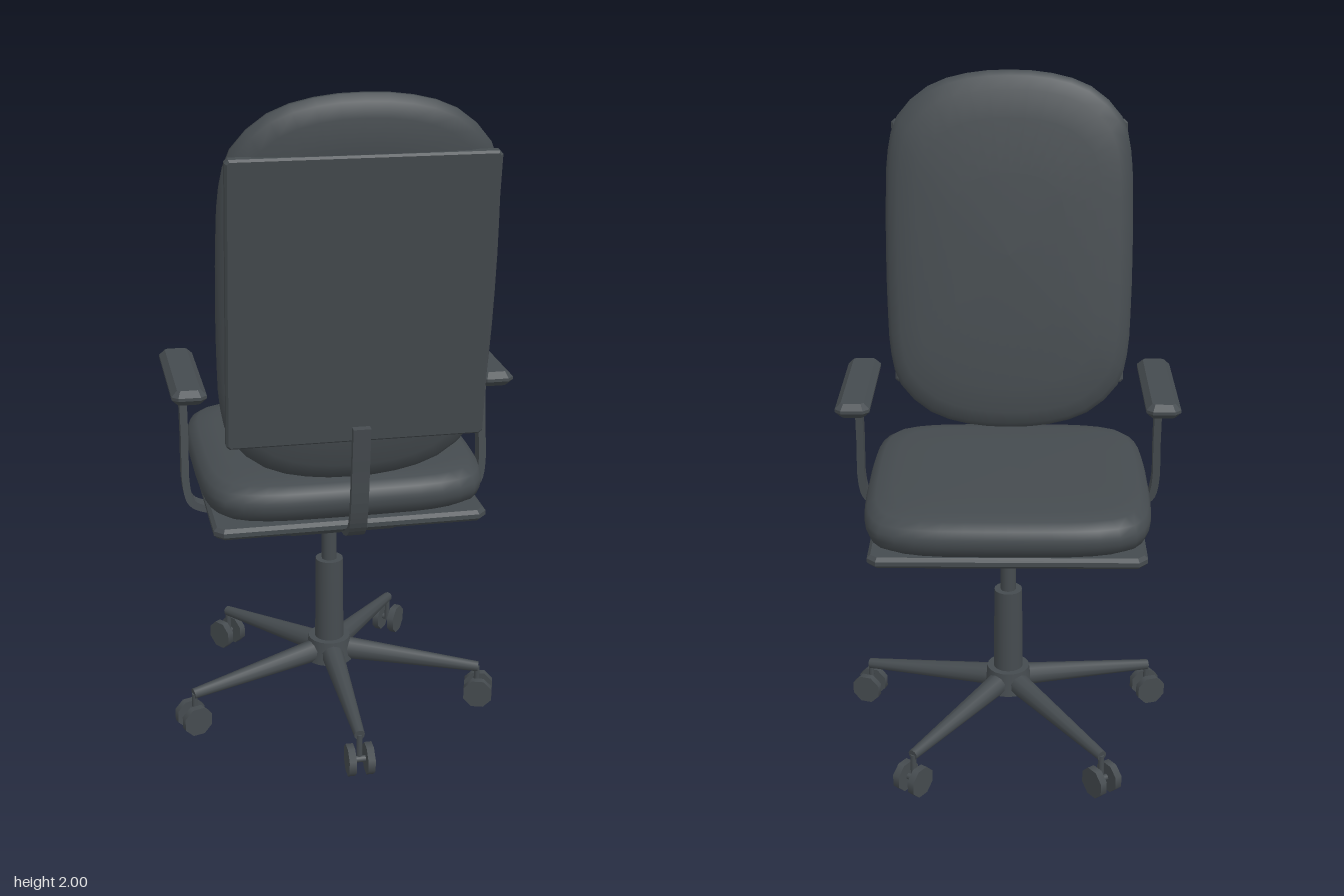
import * as THREE from 'three';

const charcoal = new THREE.MeshStandardMaterial({ color: 0x454b4f });
charcoal.name = 'charcoal';

function add(parent, name, geometry, x = 0, y = 0, z = 0) {
  const mesh = new THREE.Mesh(geometry, charcoal);
  mesh.name = name;
  mesh.position.set(x, y, z);
  parent.add(mesh);
  return mesh;
}

// Tapered rod between two points
function rod(parent, name, a, b, ra, rb, sides = 12) {
  const from = new THREE.Vector3(...a), to = new THREE.Vector3(...b);
  const dir = to.clone().sub(from);
  const mesh = add(parent, name, new THREE.CylinderGeometry(rb, ra, dir.length(), sides));
  mesh.position.copy(from).add(to).multiplyScalar(0.5);
  mesh.quaternion.setFromUnitVectors(new THREE.Vector3(0, 1, 0), dir.normalize());
  return mesh;
}

// Plate in XY with cut corners and bevelled edges, thickness along z
function slab(w, h, d, cut, bevel) {
  const x = w / 2 - bevel, y = h / 2 - bevel;
  const shape = new THREE.Shape([
    [x - cut, -y], [x, -y + cut], [x, y - cut], [x - cut, y],
    [-x + cut, y], [-x, y - cut], [-x, -y + cut], [-x + cut, -y],
  ].map(p => new THREE.Vector2(...p)));
  return new THREE.ExtrudeGeometry(shape, {
    depth: d - 2 * bevel, bevelThickness: bevel, bevelSize: bevel, bevelSegments: 1,
  }).translate(0, 0, -d / 2 + bevel);
}

// Soft pad: a quarter outline mirrored four ways, lofted through scaled rings
function cushion(quarter, profile) {
  const half = [...quarter, ...quarter.slice(0, -1).reverse().map(([x, y]) => [-x, y])];
  const loop = [...half, ...half.slice(1, -1).reverse().map(([x, y]) => [x, -y])];
  const curve = new THREE.CatmullRomCurve3(loop.map(([x, y]) => new THREE.Vector3(x, y, 0)), true);
  const outline = curve.getPoints(48).slice(0, -1);
  const n = outline.length;
  const rings = [...profile, ...profile.slice(0, -1).reverse().map(([s, h]) => [s, -h])];
  const pos = [], index = [];
  rings.forEach(([s, h], i) => outline.forEach((p, j) => {
    pos.push(p.x * s, p.y * s, h);
    if (i === rings.length - 1) return;
    const a = i * n + j, b = i * n + (j + 1) % n;
    index.push(a, a + n, b, b, a + n, b + n);
  }));
  const g = new THREE.BufferGeometry();
  g.setAttribute('position', new THREE.Float32BufferAttribute(pos, 3));
  g.setIndex(index);
  g.computeVertexNormals();
  return g;
}

// Flat bent bar: a path in XY given thickness, with its width along z
function bentBar(points, thick, width) {
  const curve = new THREE.CatmullRomCurve3(points.map(([x, y]) => new THREE.Vector3(x, y, 0)), false, 'centripetal');
  const left = [], right = [];
  for (let i = 0; i <= 24; i++) {
    const p = curve.getPoint(i / 24), t = curve.getTangent(i / 24);
    const nx = -t.y * thick / 2, ny = t.x * thick / 2;
    left.push(new THREE.Vector2(p.x + nx, p.y + ny));
    right.unshift(new THREE.Vector2(p.x - nx, p.y - ny));
  }
  return new THREE.ExtrudeGeometry(new THREE.Shape([...left, ...right]), { depth: width, bevelEnabled: false })
    .translate(0, 0, -width / 2);
}

export function createModel() {
  const chair = new THREE.Group();
  chair.name = 'officeChair';
  const axisZ = -0.035;

  // Five-legged base with twin-wheel casters
  for (let i = 0; i < 5; i++) {
    const leg = new THREE.Group();
    leg.name = 'baseLeg';
    leg.position.z = axisZ;
    leg.rotation.y = i * Math.PI * 2 / 5;
    chair.add(leg);
    rod(leg, 'legSpoke', [0, 0.168, 0.03], [0, 0.125, 0.478], 0.036, 0.016, 10);
    rod(leg, 'casterStem', [0, 0.04, 0.475], [0, 0.125, 0.475], 0.009, 0.009, 8);
    for (const side of [-1, 1]) {
      add(leg, 'casterWheel', new THREE.CylinderGeometry(0.048, 0.048, 0.022, 8)
        .rotateY(Math.PI / 8).rotateZ(Math.PI / 2), side * 0.028, 0.046, 0.48);
    }
    rod(leg, 'casterAxle', [-0.03, 0.046, 0.48], [0.03, 0.046, 0.48], 0.01, 0.01, 8);
  }
  add(chair, 'baseHub', new THREE.CylinderGeometry(0.066, 0.076, 0.075, 20), 0, 0.172, axisZ);
  add(chair, 'columnSleeve', new THREE.CylinderGeometry(0.043, 0.046, 0.29, 20), 0, 0.335, axisZ);
  add(chair, 'columnPiston', new THREE.CylinderGeometry(0.024, 0.024, 0.22, 16), 0, 0.57, axisZ);

  // Tilt mechanism and its lever
  add(chair, 'mechanism', slab(0.35, 0.42, 0.073, 0.01, 0.012).rotateX(-Math.PI / 2), 0, 0.698, -0.02);
  rod(chair, 'lever', [0.15, 0.695, -0.1], [0.35, 0.683, -0.15], 0.008, 0.008, 8);
  const knob = add(chair, 'leverKnob', new THREE.SphereGeometry(0.018, 12, 8), 0.358, 0.683, -0.155);
  knob.scale.z = 1.3;

  // Seat
  add(chair, 'seatPlate', slab(0.8, 0.75, 0.033, 0.02, 0.01).rotateX(-Math.PI / 2), 0, 0.751, -0.036);
  const seatOutline = [[0.42, 0], [0.418, 0.16], [0.405, 0.28], [0.365, 0.358], [0.26, 0.396], [0.13, 0.404], [0, 0.405]];
  const seatProfile = [[0.001, 0.069], [0.5, 0.068], [0.8, 0.064], [0.92, 0.054], [0.98, 0.036], [1, 0.012], [1, 0]];
  add(chair, 'seatCushion', cushion(seatOutline, seatProfile).rotateX(-Math.PI / 2), 0, 0.832, -0.045);

  // Leaning backrest: cushion and rear panel
  const back = new THREE.Group();
  back.name = 'backrest';
  back.position.set(0, 1.446, 0.368);
  back.rotation.x = 0.13;
  chair.add(back);
  const backOutline = [[0.385, 0], [0.382, 0.2], [0.374, 0.32], [0.345, 0.42], [0.25, 0.51], [0.13, 0.549], [0, 0.559]];
  const backProfile = [[0.001, 0.057], [0.45, 0.056], [0.75, 0.05], [0.9, 0.04], [0.97, 0.025], [1, 0.006], [1, 0]];
  add(back, 'backCushion', cushion(backOutline, backProfile));
  add(back, 'backPanel', slab(0.73, 0.83, 0.032, 0.006, 0.006), 0, -0.005, 0.042);

  // Curved upright carrying the backrest
  add(chair, 'backSupport', bentBar(
    [[0.443, 1.09], [0.428, 0.96], [0.41, 0.83], [0.385, 0.765], [0.33, 0.731], [0.25, 0.721], [0.15, 0.712]],
    0.02, 0.05).rotateY(-Math.PI / 2));

  // Armrests
  for (const side of [1, -1]) {
    const arm = new THREE.Group();
    arm.name = side > 0 ? 'leftArmrest' : 'rightArmrest';
    chair.add(arm);
    add(arm, 'armPad', slab(0.1, 0.435, 0.043, 0.008, 0.017).rotateX(-Math.PI / 2), side * 0.448, 1.129, 0.016);
    const bar = bentBar(
      [[0.452, 1.093], [0.452, 0.95], [0.452, 0.8], [0.437, 0.752], [0.39, 0.73], [0.28, 0.715], [0.14, 0.7]],
      0.022, 0.045);
    if (side < 0) bar.rotateY(Math.PI);
    // Lean the bar forward towards the top
    const p = bar.attributes.position;
    for (let i = 0; i < p.count; i++) p.setZ(i, p.getZ(i) + 0.07 - (p.getY(i) - 0.72) * 0.088);
    bar.computeVertexNormals();
    add(arm, 'armBar', bar);
  }

  return chair;
}
